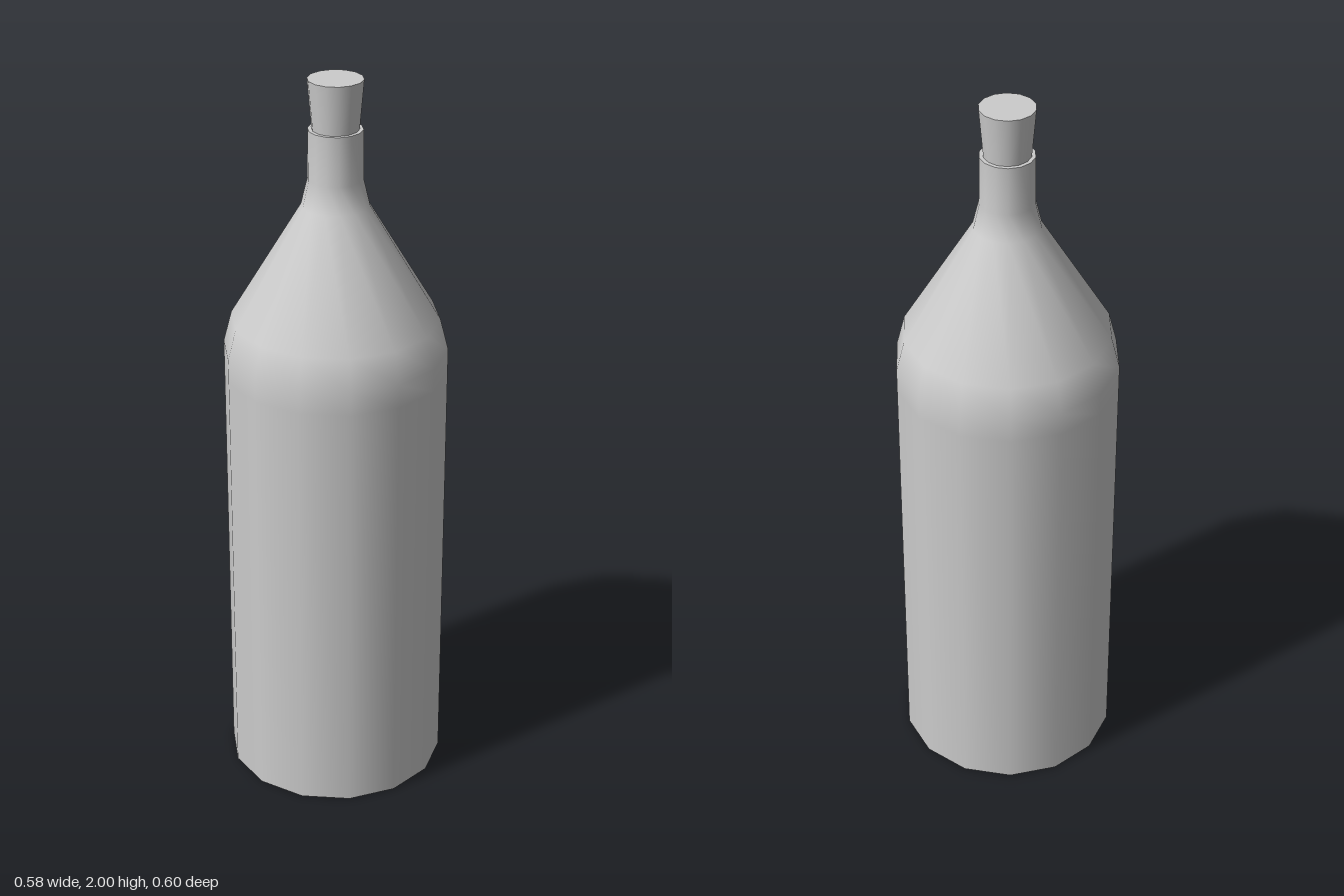
import * as THREE from 'three';

const SIDES = 14;

export function createModel() {
  const bottle = new THREE.Group();
  bottle.name = 'corkedBottle';
  const material = new THREE.MeshStandardMaterial({ color: 0xcccccc });

  const add = (name, geometry, y = 0) => {
    const mesh = new THREE.Mesh(geometry, material);
    mesh.name = name;
    mesh.position.y = y;
    bottle.add(mesh);
  };

  // Body, shoulder and neck as one smooth turned wall
  const profile = [
    [0.3, 0], [0.3, 1.2], [0.3, 1.265], [0.278, 1.35],
    [0.09, 1.663], [0.073, 1.735], [0.072, 1.868],
  ].map(([r, y]) => new THREE.Vector2(r, y));
  add('bottleWall', new THREE.LatheGeometry(profile, SIDES));

  // Flat base, with corners lined up with the wall
  add('base', new THREE.CircleGeometry(0.3, SIDES, Math.PI / 2).rotateX(Math.PI / 2));

  // Flat lip around the stopper
  add('lip', new THREE.RingGeometry(0.06, 0.072, SIDES, 1, Math.PI / 2).rotateX(-Math.PI / 2), 1.868);

  // Tapered stopper, its foot resting just inside the neck
  add('stopper', new THREE.CylinderGeometry(0.073, 0.061, 0.14, SIDES), 1.93);

  return bottle;
}
